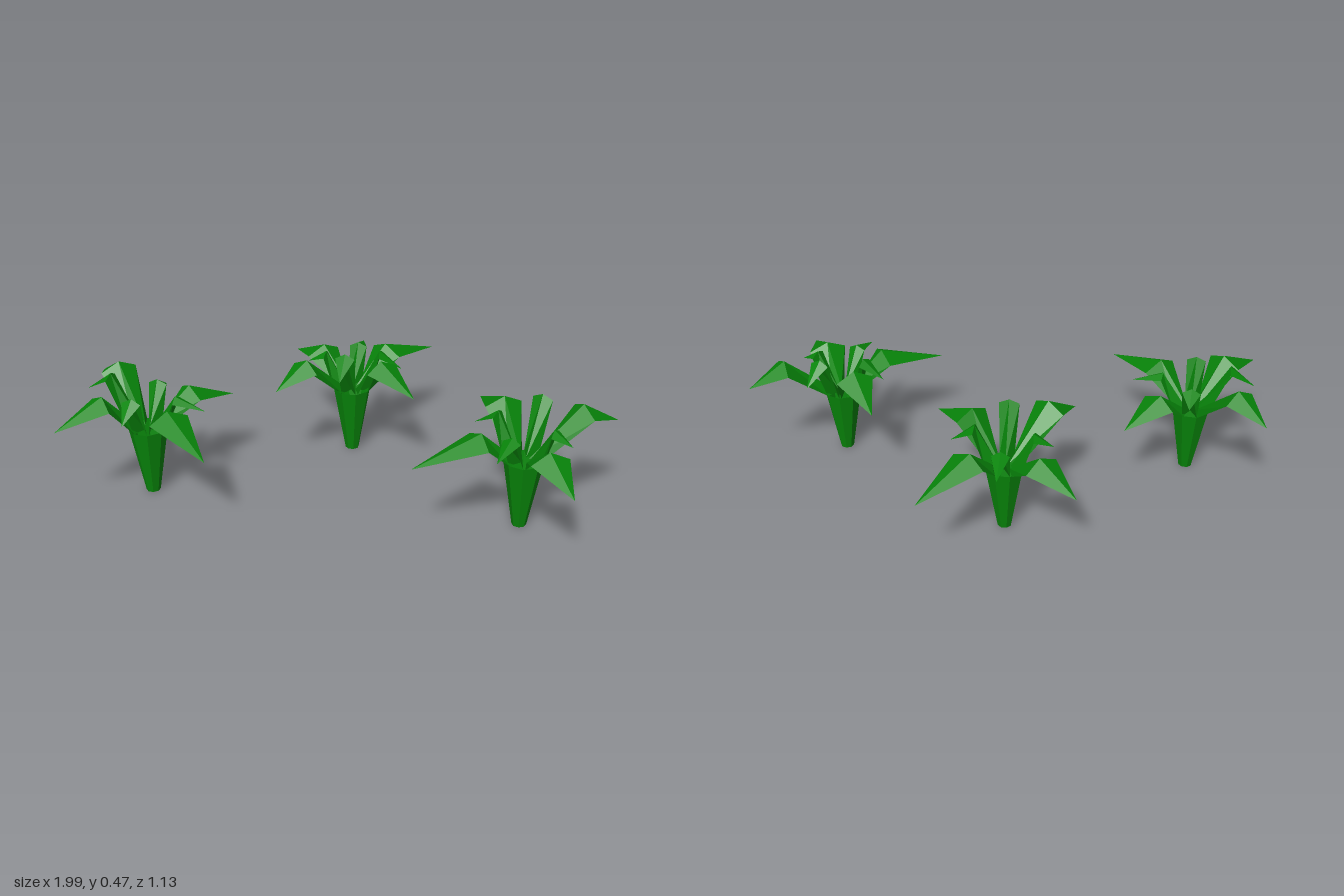
import * as THREE from 'three';

const leafGreen = new THREE.MeshStandardMaterial({ color: 0x08860a, flatShading: true, side: THREE.DoubleSide });
leafGreen.name = 'leaf green';

const RIM_R = 0.074, RIM_Y = 0.27, RIDGE_R = 0.021, RAD = Math.PI / 180;

// Folded leaf along +x: rim row, bend row, then a single pointed tip
function leafGeometry({ bend, tip, half, drop }) {
  const c = Math.cos(22.5 * RAD) * RIM_R, s = Math.sin(22.5 * RAD) * RIM_R;
  const lag = half * 0.1;
  const rows = [
    [[c, RIM_Y, -s], [RIDGE_R, RIM_Y, 0], [c, RIM_Y, s]],
    [[bend[0] + lag, bend[1] - drop, -half], [bend[0], bend[1], 0], [bend[0] + lag, bend[1] - drop, half]],
  ];
  const end = [tip[0], tip[1], 0];
  const pos = [];
  for (let i = 0; i < 2; i++) {
    const [a, b] = [rows[0][i], rows[0][i + 1]];
    const [d, e] = [rows[1][i], rows[1][i + 1]];
    pos.push(...a, ...b, ...e, ...a, ...e, ...d, ...d, ...e, ...end);
  }
  const g = new THREE.BufferGeometry();
  g.setAttribute('position', new THREE.Float32BufferAttribute(pos, 3));
  g.computeVertexNormals();
  return g;
}

// Angle is measured from +x towards +z; bend and tip are [radius, height]
const leaves = [
  { name: 'longLeaf', angle: -140.6, bend: [0.18, 0.395], tip: [0.365, 0.31], half: 0.075, drop: 0.035 },
  { name: 'longLeaf', angle: -52, bend: [0.175, 0.41], tip: [0.44, 0.32], half: 0.077, drop: 0.035 },
  { name: 'longLeaf', angle: 38.3, bend: [0.17, 0.445], tip: [0.363, 0.355], half: 0.073, drop: 0.035 },
  { name: 'longLeaf', angle: 129, bend: [0.225, 0.455], tip: [0.375, 0.365], half: 0.071, drop: 0.035 },
  { name: 'shortLeaf', angle: -90, bend: [0.12, 0.415], tip: [0.24, 0.37], half: 0.034, drop: 0.018 },
  { name: 'shortLeaf', angle: 0, bend: [0.11, 0.44], tip: [0.2, 0.37], half: 0.037, drop: 0.018 },
  { name: 'shortLeaf', angle: 90, bend: [0.135, 0.475], tip: [0.235, 0.40], half: 0.038, drop: 0.018 },
  { name: 'shortLeaf', angle: 180, bend: [0.105, 0.42], tip: [0.18, 0.37], half: 0.036, drop: 0.018 },
];

function createPlant(stemGeometry, leafGeometries) {
  const plant = new THREE.Group();
  plant.name = 'plant';
  const stem = new THREE.Mesh(stemGeometry, leafGreen);
  stem.name = 'stem';
  plant.add(stem);
  leaves.forEach((leaf, i) => {
    const mesh = new THREE.Mesh(leafGeometries[i], leafGreen);
    mesh.name = leaf.name;
    mesh.rotation.y = -leaf.angle * RAD;
    plant.add(mesh);
  });
  return plant;
}

export function createModel() {
  const model = new THREE.Group();
  model.name = 'leafyPlants';

  // Open, tapered eight-sided stem
  const stem = new THREE.CylinderGeometry(RIM_R, 0.027, RIM_Y, 8, 1, true);
  stem.rotateY(22.5 * RAD).translate(0, RIM_Y / 2, 0);
  const leafGeometries = leaves.map(leafGeometry);

  // Same plant three times, turned differently: x, z, turn
  for (const [x, z, turn] of [[-0.047, -0.227, 0], [-0.73, 0.26, 95], [0.672, 0.223, 199.5]]) {
    const plant = createPlant(stem, leafGeometries);
    plant.position.set(x, 0, z);
    plant.rotation.y = -turn * RAD;
    model.add(plant);
  }
  return model;
}
